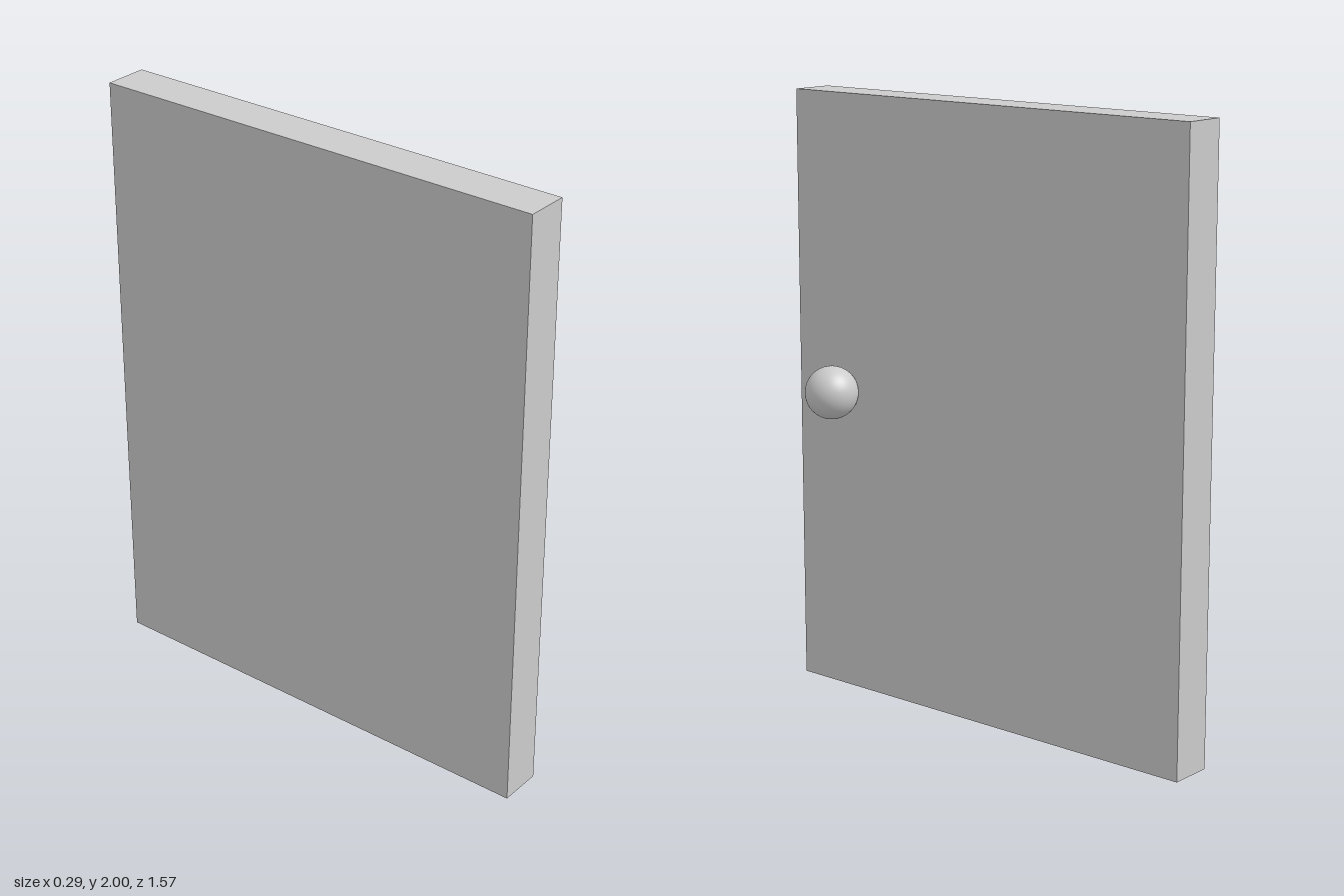
import * as THREE from 'three';

export function createModel() {
  const model = new THREE.Group();
  const material = new THREE.MeshStandardMaterial({ color: 0xcccccc });

  const add = (name, geometry, x, y, z) => {
    const mesh = new THREE.Mesh(geometry, material);
    mesh.name = name;
    mesh.position.set(x, y, z);
    model.add(mesh);
  };

  // Flat slab, with its outer face just short of x = 0
  add('doorPanel', new THREE.BoxGeometry(0.145, 2, 1.574), -0.0745, 1, 0);

  // Round knob, partly sunk into the panel near its front edge
  add('doorKnob', new THREE.SphereGeometry(0.088, 48, 32), 0.059, 1.024, 0.587);

  return model;
}
